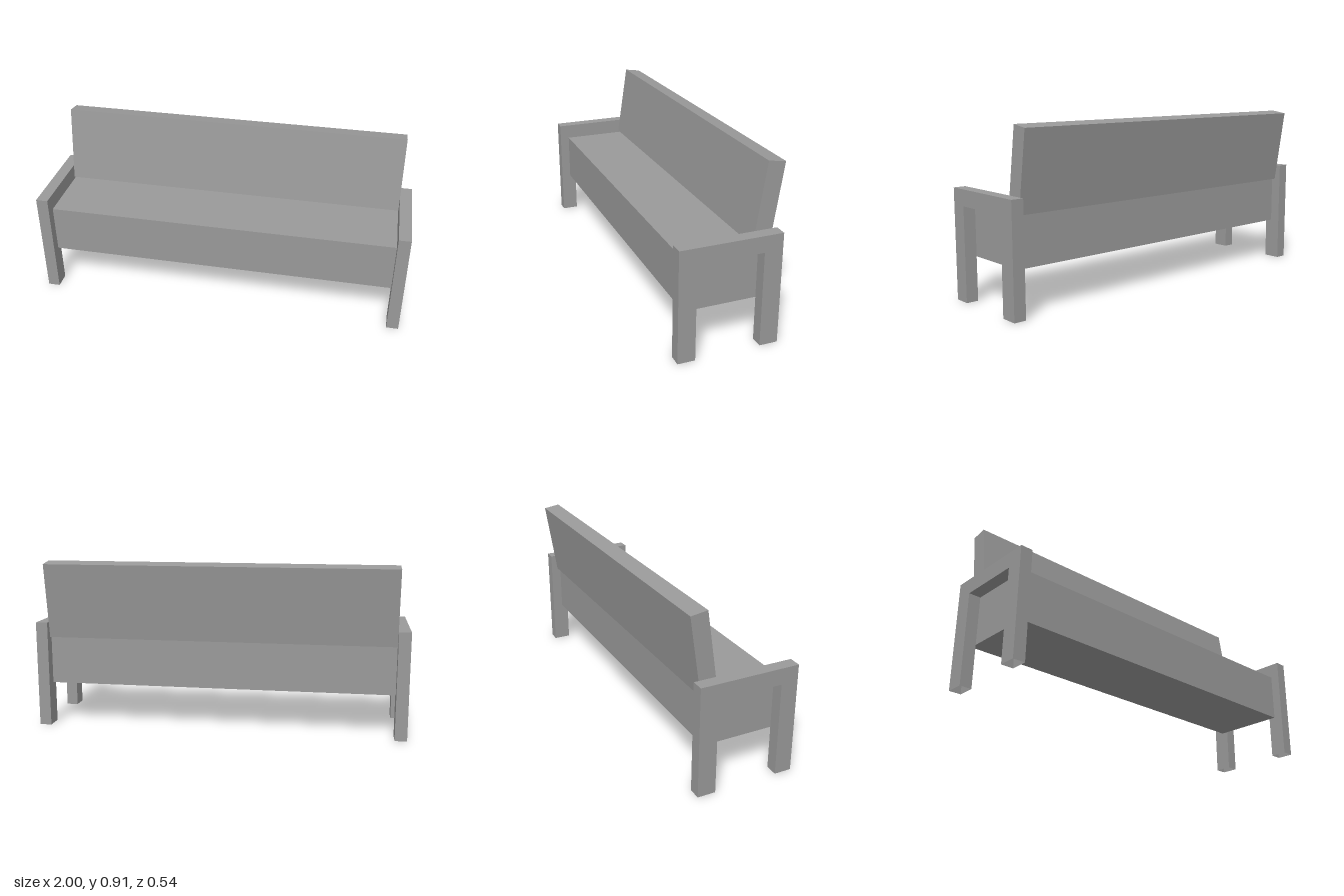
import * as THREE from 'three';

export function createModel() {
  const bench = new THREE.Group();
  bench.name = 'bench';
  const grey = new THREE.MeshStandardMaterial({ color: 0x999999, side: THREE.DoubleSide, flatShading: true });
  grey.name = 'grey';

  const add = (name, geometry, x, y, z) => {
    const mesh = new THREE.Mesh(geometry, grey);
    mesh.name = name;
    mesh.position.set(x, y, z);
    bench.add(mesh);
    return mesh;
  };

  const innerX = 0.936, armWidth = 0.064;

  // Solid seat between the two arm frames
  add('seat', new THREE.BoxGeometry(innerX * 2, 0.262, 0.41), 0, 0.361, 0.015);

  // Backrest board, leaning back
  add('backrest', new THREE.BoxGeometry(innerX * 2, 0.41, 0.088), 0, 0.699, -0.196).rotation.x = -0.15;

  // Arm frame: two legs joined by an armrest, drawn as (-z, y) and extruded along x
  const outline = [
    [-0.272, 0], [-0.183, 0], [-0.183, 0.491], [0.152, 0.491],
    [0.152, 0], [0.246, 0], [0.246, 0.575], [-0.272, 0.575],
  ].map(([u, y]) => new THREE.Vector2(u, y));
  const frame = new THREE.ExtrudeGeometry(new THREE.Shape(outline), { depth: armWidth, bevelEnabled: false });
  frame.rotateY(Math.PI / 2);

  // The hollow legs are open underneath: leave out the faces lying on the ground
  const p = frame.attributes.position;
  const kept = [];
  for (let i = 0; i < p.count; i += 3) {
    const onGround = [0, 1, 2].every((k) => Math.abs(p.getY(i + k)) < 1e-4);
    if (!onGround) kept.push(i, i + 1, i + 2);
  }
  frame.setIndex(kept);
  frame.clearGroups();

  add('leftArmFrame', frame, innerX, 0, 0);
  add('rightArmFrame', frame, -innerX - armWidth, 0, 0);

  return bench;
}
